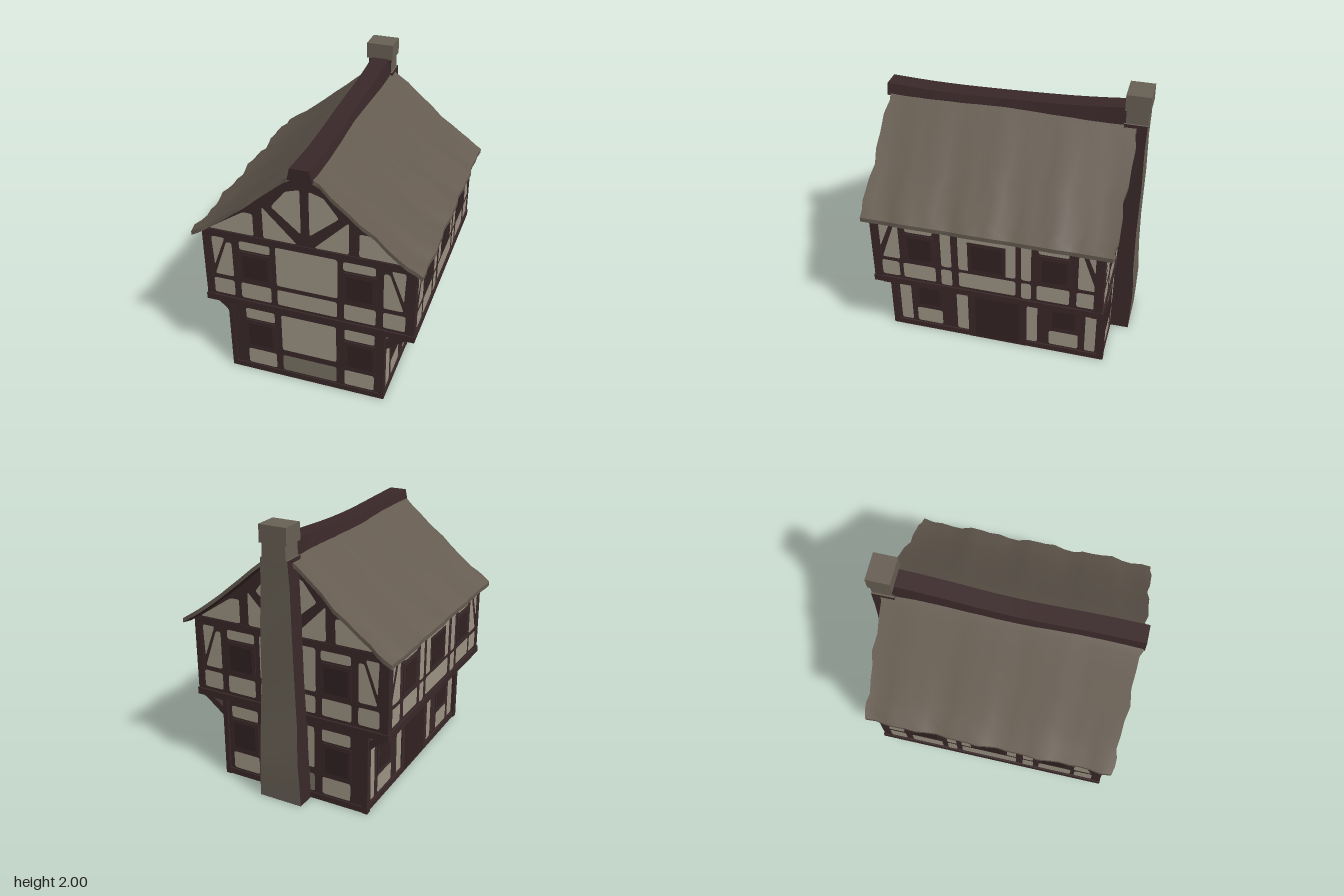
import * as THREE from 'three';

const mat = (name, color, side = THREE.FrontSide) => {
  const m = new THREE.MeshStandardMaterial({ color, side });
  m.name = name;
  return m;
};

export function createModel() {
  const house = new THREE.Group();
  house.name = 'timberHouse';
  const timber = mat('timber', 0x3a2829);
  const darkTimber = mat('darkTimber', 0x322223);
  const plaster = mat('plaster', 0x9d9484);
  const weathered = mat('weatheredPlaster', 0x787264);
  const thatch = mat('roofCovering', 0x655b50);
  const stone = mat('chimneyStone', 0x686055);

  const add = (parent, name, geometry, material) => {
    const m = new THREE.Mesh(geometry, material);
    m.name = name;
    parent.add(m);
    return m;
  };
  // Box given by its low and high corners
  const box = (parent, name, x0, y0, z0, x1, y1, z1, material) => {
    const m = add(parent, name, new THREE.BoxGeometry(x1 - x0, y1 - y0, z1 - z0), material);
    m.position.set((x0 + x1) / 2, (y0 + y1) / 2, (z0 + z1) / 2);
    return m;
  };
  // Flat polygon with softened corners
  const softShape = (pts, r = 0.018) => {
    const v = pts.map(p => new THREE.Vector2(...p)), n = v.length, s = new THREE.Shape();
    v.forEach((p, i) => {
      const a = v[(i + n - 1) % n], b = v[(i + 1) % n];
      const into = p.clone().add(a.clone().sub(p).setLength(r));
      const out = p.clone().add(b.clone().sub(p).setLength(r));
      if (i) s.lineTo(into.x, into.y); else s.moveTo(into.x, into.y);
      s.quadraticCurveTo(p.x, p.y, out.x, out.y);
    });
    s.closePath();
    return s;
  };
  const panel = (wall, name, pts, material = plaster, z = 0.005) => {
    const m = add(wall, name, new THREE.ShapeGeometry(softShape(pts), 3), material);
    m.position.z = z;
  };
  const rect = ([a, b, c, d]) => [[a, b], [c, b], [c, d], [a, d]];
  const wallGroup = (name, x, z, turn) => {
    const g = new THREE.Group();
    g.name = name;
    g.position.set(x, 0, z);
    g.rotation.y = turn;
    house.add(g);
    return g;
  };
  const shutter = (wall, x0, y0, x1, y1) => {
    box(wall, 'windowFrame', x0, y0, 0, x1, y1, 0.008, timber);
    box(wall, 'windowPane', x0 + 0.025, y0 + 0.025, 0.006, x1 - 0.025, y1 - 0.025, 0.011, darkTimber);
  };

  // Main body
  box(house, 'groundFloor', -0.59, 0, -0.78, 0.54, 0.62, 0.84, timber);
  box(house, 'upperFloor', -0.75, 0.61, -0.785, 0.75, 1.2, 0.86, timber);
  box(house, 'jettyBeam', -0.765, 0.605, -0.8, 0.762, 0.655, 0.872, timber);
  box(house, 'eaveBeam', -0.757, 1.17, -0.79, 0.757, 1.215, 0.867, timber);
  box(house, 'groundSill', -0.605, 0, -0.79, 0.553, 0.045, 0.848, timber);
  const gable = new THREE.Shape([[-0.75, 1.2], [0.75, 1.2], [0.4, 1.46], [0.06, 1.76], [-0.06, 1.76], [-0.4, 1.46]]
    .map(p => new THREE.Vector2(...p)));
  add(house, 'gableBlock', new THREE.ExtrudeGeometry(gable, { depth: 1.645, bevelEnabled: false }), timber).position.z = -0.785;

  // Corner posts, joists and curved brackets
  for (const s of [-1, 1]) {
    const xl = s > 0 ? 0.54 : -0.59;
    for (const z of [0.83, -0.765]) {
      box(house, 'upperPost', s * 0.73 - 0.028, 0.62, z - 0.025, s * 0.73 + 0.028, 1.2, z + 0.035, timber);
      box(house, 'lowerPost', xl - 0.025, 0, z - 0.03, xl + 0.012, 0.61, z + 0.018, timber);
    }
    for (const z of [0.81, 0.37, -0.34, -0.755]) {
      const b = new THREE.Shape();
      b.moveTo(Math.abs(xl) - 0.02, 0.43);
      b.quadraticCurveTo(0.63, 0.52, 0.74, 0.605);
      b.lineTo(0.67, 0.605);
      b.quadraticCurveTo(0.6, 0.56, Math.abs(xl) - 0.02, 0.5);
      const m = add(house, 'jettyBracket', new THREE.ExtrudeGeometry(b, { depth: 0.04, bevelEnabled: false }), timber);
      m.rotation.y = s > 0 ? 0 : Math.PI;
      m.position.z = z - s * 0.02;
    }
  }
  for (let i = 0; i < 7; i++) {
    const z = -0.74 + i * 0.255;
    box(house, 'joist', -0.74, 0.58, z - 0.025, 0.74, 0.61, z + 0.025, timber);
  }

  // Gable-end infill, front and back
  for (const end of [1, -1]) {
    const turn = end > 0 ? 0 : Math.PI;
    const up = wallGroup(end > 0 ? 'frontUpperWall' : 'backUpperWall', 0, end > 0 ? 0.862 : -0.787, turn);
    const low = wallGroup(end > 0 ? 'frontLowerWall' : 'backLowerWall', 0, end > 0 ? 0.841 : -0.781, turn);
    panel(up, 'middlePanel', rect([-0.22, 0.845, 0.22, 1.165]));
    panel(up, 'middleLowPanel', rect([-0.22, 0.68, 0.215, 0.81]));
    panel(low, 'middlePanel', rect([-0.21, 0.25, 0.2, 0.57]));
    panel(low, 'middleLowPanel', rect([-0.21, 0.06, 0.2, 0.2]), weathered);
    for (const s of [-1, 1]) {
      const side = pts => {
        const q = pts.map(([x, y]) => [s * x, y]);
        return s > 0 ? q : q.reverse();
      };
      for (const r of [[0.26, 1.09, 0.485, 1.16], [0.265, 0.68, 0.49, 0.81], [0.54, 0.68, 0.695, 0.81]])
        panel(up, 'infillPanel', side(rect(r)));
      panel(up, 'bracePanel', side([[0.59, 1.16], [0.68, 0.92], [0.69, 1.16]]));
      panel(up, 'bracePanel', side([[0.54, 0.845], [0.68, 0.845], [0.58, 1.13], [0.54, 1.13]]));
      panel(up, 'gableOuterPanel', side([[0.37, 1.225], [0.7, 1.225], [0.44, 1.4], [0.37, 1.4]]));
      panel(up, 'gableMiddlePanel', side([[0.06, 1.225], [0.3, 1.225], [0.3, 1.47]]));
      panel(up, 'gableTopPanel', side([[0.03, 1.31], [0.235, 1.485], [0.13, 1.62], [0.03, 1.65]]));
      for (const r of [[0.26, 0.48, 0.48, 0.57], [0.26, 0.06, 0.48, 0.195]])
        panel(low, 'infillPanel', side(rect(r)));
      const [a, b] = s > 0 ? [0.26, 0.49] : [-0.49, -0.26];
      shutter(up, a, 0.835, b, 1.075);
      shutter(low, a, 0.215, b, 0.465);
    }
  }

  // Long walls; u is measured from front to back
  for (const s of [1, -1]) {
    const label = s > 0 ? 'right' : 'left';
    const turn = s * Math.PI / 2;
    const up = wallGroup(label + 'SideUpperWall', s * 0.752, 0, turn);
    const low = wallGroup(label + 'SideLowerWall', s > 0 ? 0.541 : -0.591, 0, turn);
    const side = pts => {
      const q = pts.map(([u, y]) => [s * u, y]);
      return s > 0 ? q : q.reverse();
    };
    const span = (a, b) => s > 0 ? [a, b] : [-b, -a];
    const upper = [[-0.8, 0.68, -0.67, 0.81], [-0.64, 0.68, -0.4, 0.81], [-0.36, 0.67, -0.28, 0.81],
      [-0.23, 0.68, 0.18, 0.81], [0.22, 0.67, 0.29, 0.81], [0.33, 0.68, 0.56, 0.81], [0.61, 0.68, 0.755, 0.81],
      [-0.61, 1.09, -0.41, 1.16], [-0.355, 0.835, -0.28, 1.16], [-0.23, 0.835, 0.18, 1.165],
      [0.22, 0.835, 0.29, 1.16], [0.34, 1.09, 0.55, 1.16]];
    const lower = [[-0.78, 0.06, -0.69, 0.57], [-0.65, 0.48, -0.45, 0.57], [-0.65, 0.06, -0.45, 0.195],
      [-0.33, 0.055, 0.29, 0.57], [0.38, 0.48, 0.6, 0.565], [0.38, 0.06, 0.6, 0.195], [0.65, 0.06, 0.73, 0.57]];
    upper.forEach(r => panel(up, 'infillPanel', side(rect(r))));
    lower.forEach(r => panel(low, 'infillPanel', side(rect(r))));
    for (const [edge, d] of [[-0.81, 1], [0.765, -1]]) {
      const brace = pts => side(d > 0 ? pts.map(([x, y]) => [edge + x, y]) : pts.map(([x, y]) => [edge - x, y]).reverse());
      panel(up, 'bracePanel', brace([[0.01, 0.93], [0.1, 1.16], [0.01, 1.16]]));
      panel(up, 'bracePanel', brace([[0.02, 0.84], [0.15, 0.84], [0.15, 1.13], [0.12, 1.13]]));
    }
    // Windows and door
    for (const [u0, u1] of [[-0.62, -0.4], [0.34, 0.56]]) {
      const [a, b] = span(u0, u1);
      shutter(up, a, 0.835, b, 1.075);
    }
    for (const [u0, u1] of [[-0.65, -0.44], [0.38, 0.6]]) {
      const [a, b] = span(u0, u1);
      shutter(low, a, 0.215, b, 0.465);
    }
    const [w0, w1] = span(-0.16, 0.11);
    shutter(up, w0, 0.835, w1, 1.09);
    const [d0, d1] = span(-0.24, 0.21);
    box(low, 'doorFrame', d0, 0, 0, d1, 0.515, 0.014, timber);
    box(low, 'door', d0 + 0.055, 0.02, 0.01, d1 - 0.055, 0.47, 0.018, darkTimber);
  }

  // Sagging, ragged roof slopes
  const slope = new THREE.CatmullRomCurve3([[0.03, 1.8], [0.12, 1.735], [0.4, 1.495], [0.65, 1.295], [0.81, 1.19]]
    .map(([x, y]) => new THREE.Vector3(x, y, 0)));
  for (const s of [-1, 1]) {
    const g = new THREE.BoxGeometry(1, 1, 1, 12, 1, 24);
    const p = g.attributes.position;
    for (let i = 0; i < p.count; i++) {
      const u = s * p.getX(i) + 0.5, v = p.getZ(i) + 0.5, top = p.getY(i) > 0;
      const c = slope.getPoint(u);
      const ragged = 0.009 * Math.sin(u * 17 + s) + 0.006 * Math.sin(u * 41);
      const z = -0.855 + v * 1.77 + ragged * (v > 0.5 ? 1 : -1);
      const wave = 0.005 * Math.sin(v * 23 + s * 2) + 0.004 * Math.sin(v * 51 + u * 3);
      p.setXYZ(i, s * (c.x + u * u * wave * 1.5), c.y + wave * u + (top ? 0.005 : -0.027), z);
    }
    g.computeVertexNormals();
    add(house, s > 0 ? 'rightRoofSlope' : 'leftRoofSlope', g, [thatch, thatch, thatch, timber, thatch, thatch]);
  }

  // Ridge cap, rising toward the chimney
  const ridge = new THREE.BoxGeometry(2, 1, 1, 1, 1, 12);
  const rp = ridge.attributes.position;
  for (let i = 0; i < rp.count; i++) {
    const t = 0.5 - rp.getZ(i), top = rp.getY(i) > 0;
    const y = top ? 1.84 - 0.02 * Math.sin(t * Math.PI) + 0.05 * t * t : 1.755;
    rp.setXYZ(i, rp.getX(i) * (top ? 0.066 : 0.085) + 0.005 * Math.sin(t * 9), y, 0.935 - t * 1.72);
  }
  ridge.computeVertexNormals();
  add(house, 'ridgeCap', ridge, timber);

  // Tapering chimney stack: stone face with dark flanks, [y, half width, back z]
  const rings = [[0, 0.165, -0.925], [0.15, 0.16, -0.93], [0.35, 0.15, -0.935], [0.6, 0.145, -0.92],
    [0.9, 0.13, -0.915], [1.3, 0.12, -0.92], [1.6, 0.11, -0.915], [1.78, 0.1, -0.92]];
  const stack = new THREE.BoxGeometry(2, 1, 1, 1, rings.length - 1, 1);
  const sp = stack.attributes.position;
  for (let i = 0; i < sp.count; i++) {
    const [y, w, back] = rings[Math.round((sp.getY(i) + 0.5) * (rings.length - 1))];
    sp.setXYZ(i, sp.getX(i) * w, y, sp.getZ(i) > 0 ? -0.76 : back);
  }
  stack.computeVertexNormals();
  add(house, 'chimneyStack', stack, [timber, timber, stone, timber, timber, stone]);
  box(house, 'chimneyNeck', -0.088, 1.76, -0.92, 0.088, 1.9, -0.77, [stone, stone, stone, stone, timber, stone]);
  box(house, 'chimneyTop', -0.103, 1.88, -0.93, 0.1, 2, -0.76, stone);
  return house;
}
